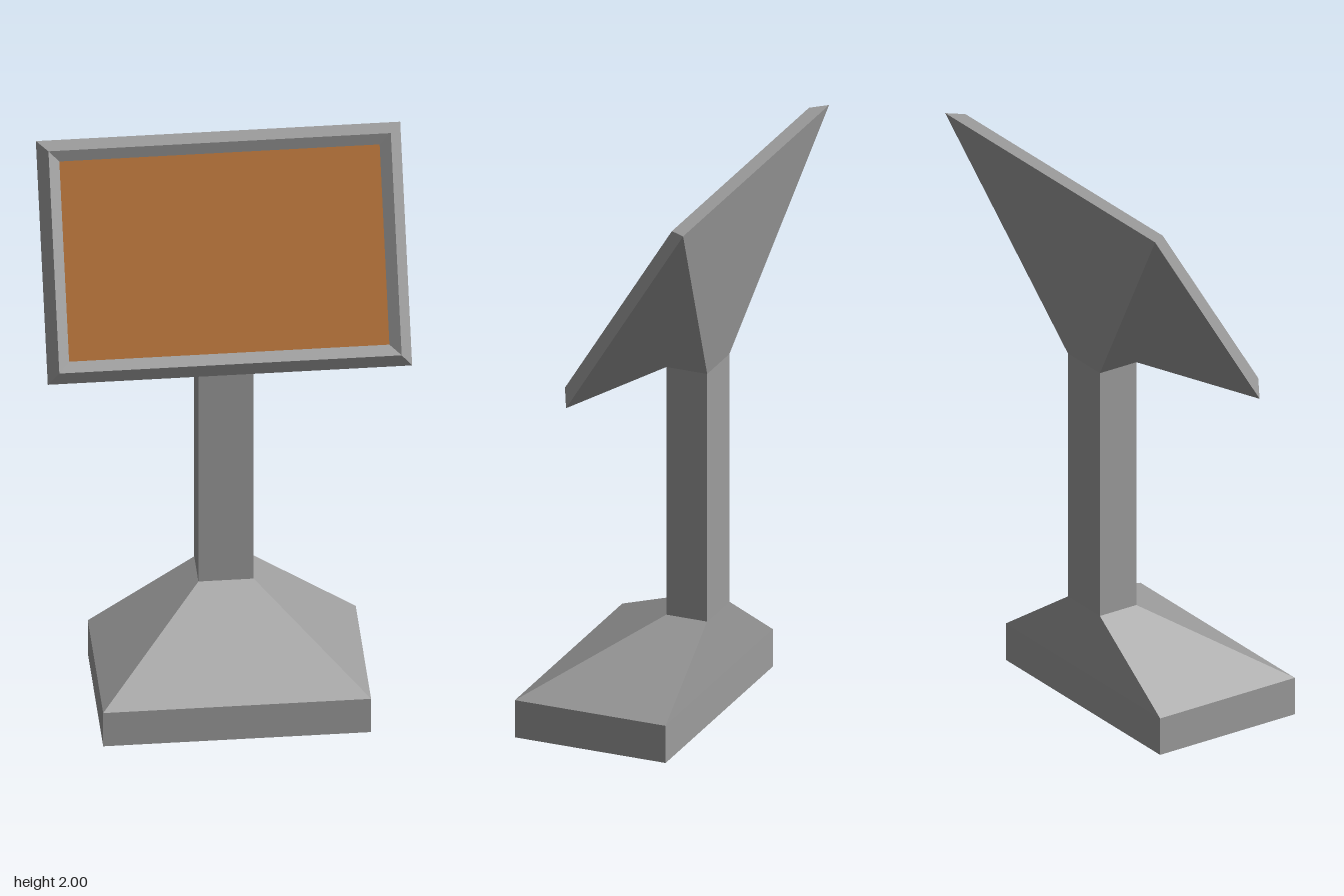
import * as THREE from 'three';

// Four-cornered cross-section: half width, then height and depth of its front and back edges
function ring(w, yFront, zFront, yBack, zBack) {
  return [[-w, yFront, zFront], [w, yFront, zFront], [w, yBack, zBack], [-w, yBack, zBack]];
}

// Mesh of four-sided facets, each shaded evenly with one normal; flip picks the other diagonal
function facetMesh(name, facets, color) {
  const positions = [], normals = [];
  for (const { corners: [a, b, c, d], flip } of facets) {
    const across = new THREE.Vector3(...c).sub(new THREE.Vector3(...a));
    const normal = across.cross(new THREE.Vector3(...d).sub(new THREE.Vector3(...b))).normalize();
    for (const p of flip ? [a, b, d, b, c, d] : [a, b, c, a, c, d]) {
      positions.push(...p);
      normals.push(...normal.toArray());
    }
  }
  const geometry = new THREE.BufferGeometry();
  geometry.setAttribute('position', new THREE.Float32BufferAttribute(positions, 3));
  geometry.setAttribute('normal', new THREE.Float32BufferAttribute(normals, 3));
  const mesh = new THREE.Mesh(geometry, new THREE.MeshStandardMaterial({ color }));
  mesh.name = name;
  return mesh;
}

// Joins successive rings with walls; the two sides fold as mirror images
function loft(name, rings, closeBottom = false) {
  const facets = [];
  for (let r = 0; r + 1 < rings.length; r++) {
    const a = rings[r], b = rings[r + 1];
    for (let i = 0; i < 4; i++) {
      const j = (i + 1) % 4;
      facets.push({ corners: [a[i], a[j], b[j], b[i]], flip: i === 3 });
    }
  }
  if (closeBottom) facets.push({ corners: [...rings[0]].reverse() });
  return facetMesh(name, facets, 0x9c9c9c);
}

export function createModel() {
  const group = new THREE.Group();
  group.name = 'pedestalDisplay';

  const footBottom = ring(0.45, 0, 0.342, 0, -0.208);
  const footTop = ring(0.45, 0.135, 0.342, 0.135, -0.208);
  const columnBottom = ring(0.093, 0.374, -0.055, 0.374, -0.204);
  const columnTop = ring(0.093, 1.274, -0.055, 1.274, -0.204);
  const rimBack = ring(0.612, 1.303, 0.085, 2.0, -0.342);
  const rimFront = ring(0.575, 1.36, 0.105, 1.995, -0.285);
  const panel = ring(0.538, 1.375, 0.06, 1.948, -0.29);

  // Foot with sloping shoulders, column, and tilted head with a recessed rim
  group.add(loft('base', [footBottom, footTop, columnBottom], true));
  group.add(loft('column', [columnBottom, columnTop]));
  group.add(loft('displayHousing', [columnTop, rimBack]));
  group.add(loft('displayFrame', [rimBack, rimFront, panel]));

  // Coloured screen panel
  group.add(facetMesh('screen', [{ corners: panel }], 0xa5600a));

  return group;
}
